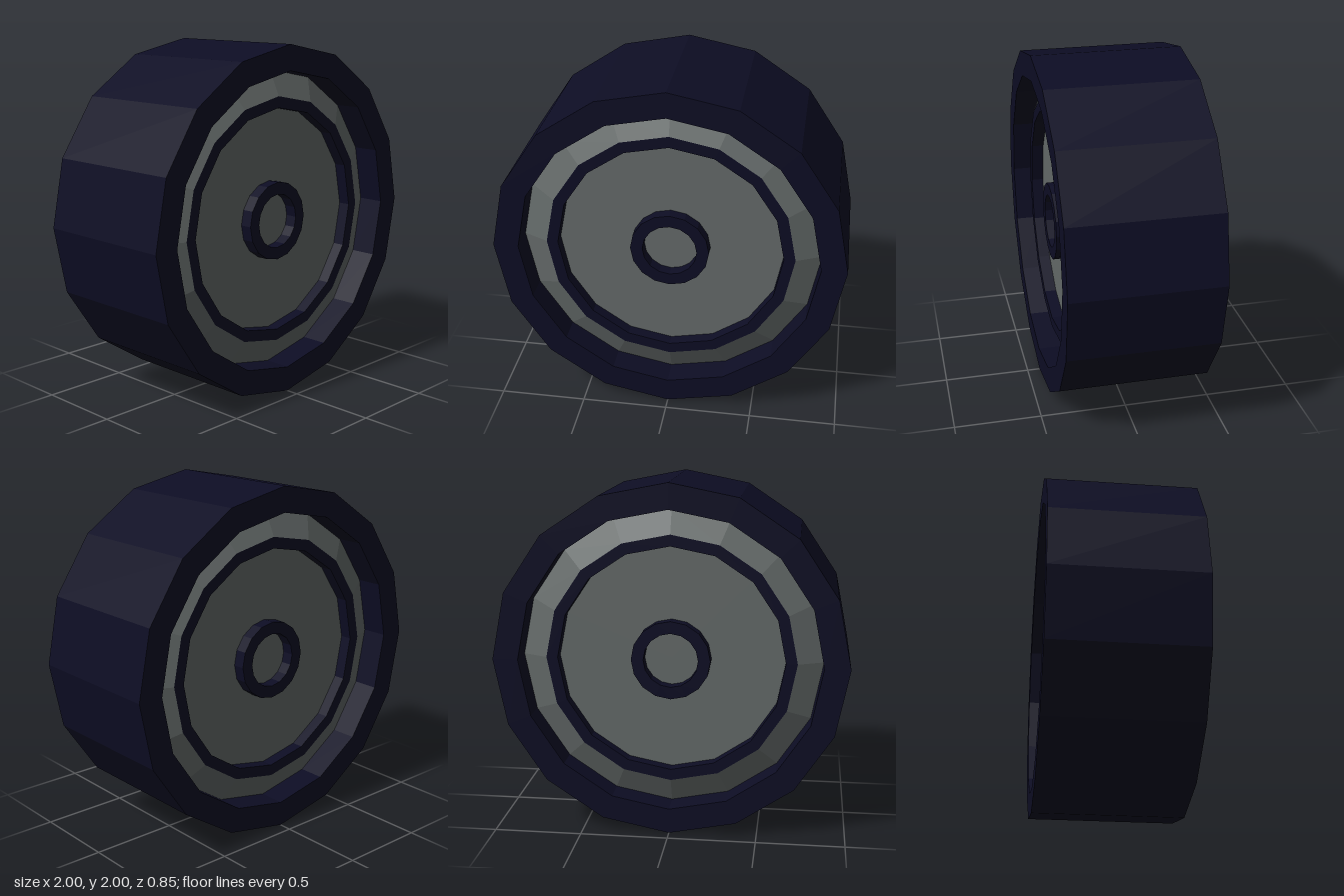
import * as THREE from 'three';

const SIDES = 16;
const RECESS = 0.27, RAISED = 0.34, HALF_WIDTH = 0.425;

export function createModel() {
  const rubber = new THREE.MeshStandardMaterial({ color: 0x0d0d24 });
  const metal = new THREE.MeshStandardMaterial({ color: 0x656b6a });
  rubber.name = 'dark navy rubber';
  metal.name = 'grey metal';
  rubber.flatShading = metal.flatShading = true;

  // Turns a [radius, z] profile around the axle (the z axis)
  const turned = (name, material, profile) => {
    const points = profile.map(([r, z]) => new THREE.Vector2(r, z));
    const geometry = new THREE.LatheGeometry(points, SIDES).rotateX(Math.PI / 2);
    const mesh = new THREE.Mesh(geometry, material);
    mesh.name = name;
    return mesh;
  };

  const wheel = new THREE.Group();
  wheel.name = 'wheel';
  wheel.position.y = 1;

  // Tyre with a straight-walled recess on both sides
  wheel.add(turned('tyre', rubber, [
    [0.855, -RECESS], [0.855, -HALF_WIDTH], [1, -HALF_WIDTH],
    [1, HALF_WIDTH], [0.855, HALF_WIDTH], [0.855, RECESS],
  ]));

  // The same rim and hub on the front and the back
  for (const [name, turn] of [['frontRim', 0], ['backRim', Math.PI]]) {
    const rim = new THREE.Group();
    rim.name = name;
    rim.rotation.y = turn;
    rim.add(
      turned('slopedRing', metal, [[0.855, RECESS], [0.71, RAISED]]),
      turned('rimLip', rubber, [[0.71, RAISED], [0.645, RAISED], [0.645, RECESS]]),
      turned('disc', metal, [[0.645, RECESS], [0, RECESS]]),
      turned('hubRing', rubber, [
        [0.225, RECESS], [0.225, RAISED], [0.155, RAISED], [0.155, RECESS],
      ]),
    );
    wheel.add(rim);
  }

  const model = new THREE.Group();
  model.name = 'wheelModel';
  model.add(wheel);
  return model;
}
